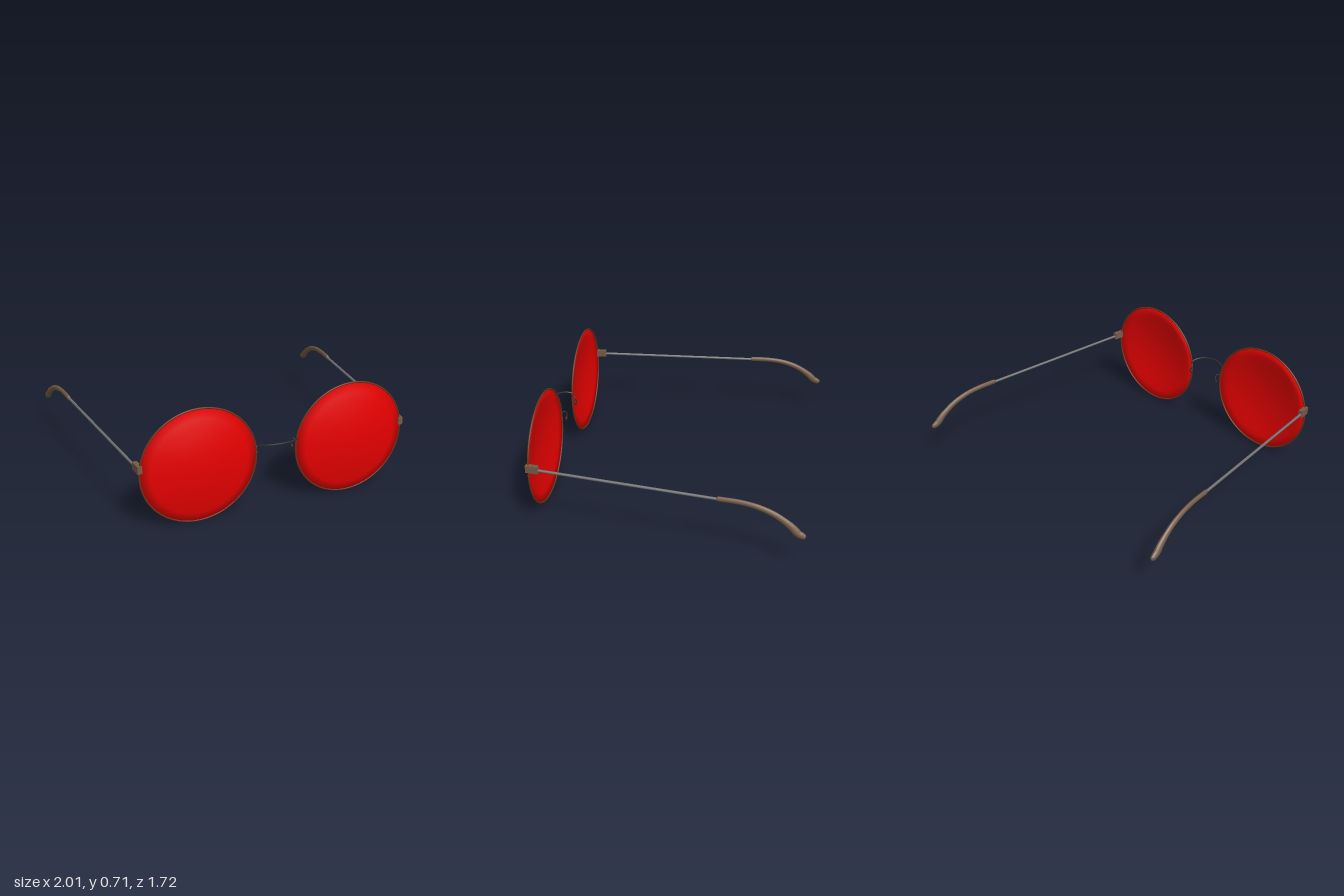
import * as THREE from 'three';

const V = (x, y, z) => new THREE.Vector3(x, y, z);

const makeMaterial = (name, color) => {
  const material = new THREE.MeshStandardMaterial({ color });
  material.name = name;
  return material;
};

export function createModel() {
  const model = new THREE.Group();
  model.name = 'roundGlasses';

  const lensRed = makeMaterial('lensRed', 0xeb0000);
  const rimBrown = makeMaterial('rimBrown', 0x6e3018);
  const brown = makeMaterial('brown', 0x745a46);
  const steel = makeMaterial('steel', 0x727272);
  const darkWire = makeMaterial('darkWire', 0x303030);

  const add = (name, geometry, material, parent = model) => {
    const mesh = new THREE.Mesh(geometry, material);
    mesh.name = name;
    parent.add(mesh);
    return mesh;
  };
  const wire = (points, radius, segments = 32) =>
    new THREE.TubeGeometry(new THREE.CatmullRomCurve3(points), segments, radius, 8);

  // Tube whose radius follows a profile of [u, radius] pairs, flattened in x
  const taperedTube = (points, profile, flatten) => {
    const curve = new THREE.CatmullRomCurve3(points);
    const geometry = new THREE.TubeGeometry(curve, 80, 1, 14);
    const pos = geometry.attributes.position;
    const uv = geometry.attributes.uv;
    const p = V(0, 0, 0);
    for (let i = 0; i < pos.count; i++) {
      const u = uv.getX(i);
      let k = 1;
      while (k < profile.length - 1 && profile[k][0] < u) k++;
      const [u0, r0] = profile[k - 1];
      const [u1, r1] = profile[k];
      const r = THREE.MathUtils.lerp(r0, r1, (u - u0) / (u1 - u0));
      const c = curve.getPointAt(u);
      p.fromBufferAttribute(pos, i).sub(c).multiplyScalar(r);
      p.x *= flatten;
      pos.setXYZ(i, c.x + p.x, c.y + p.y, c.z + p.z);
    }
    geometry.computeVertexNormals();
    return geometry;
  };

  // Thin domed lens: concave back, softly shaded edge, convex front
  const dome = (r) => 0.046 * (1 - (r / 0.354) ** 2) ** 1.2;
  const radii = [0, 0.05, 0.1, 0.15, 0.2, 0.25, 0.295];
  const lensProfile = [
    ...radii.map((r) => new THREE.Vector2(r, dome(r) - 0.006)),
    new THREE.Vector2(0.354, -0.002),
    ...radii.slice().reverse().map((r) => new THREE.Vector2(r, dome(r) + 0.002)),
  ];
  const lensGeometry = new THREE.LatheGeometry(lensProfile, 72).rotateX(Math.PI / 2);
  const rimGeometry = new THREE.TorusGeometry(0.352, 0.0055, 10, 96);

  for (const s of [1, -1]) {
    const side = new THREE.Group();
    side.name = s > 0 ? 'leftSide' : 'rightSide';
    model.add(side);

    add('lens', lensGeometry, lensRed, side).position.set(s * 0.478, 0.363, 0.774);
    add('rim', rimGeometry, rimBrown, side).position.set(s * 0.478, 0.363, 0.771);

    // Hinge block with a short lug to the rim
    const hinge = add('hinge', new THREE.BoxGeometry(0.028, 0.046, 0.076), brown, side);
    hinge.position.set(s * 0.832, 0.41, 0.746);
    hinge.rotation.y = -s * 0.103;
    add('hingeLug', new THREE.BoxGeometry(0.022, 0.04, 0.016), brown, side)
      .position.set(s * 0.825, 0.41, 0.775);

    // Straight temple wire
    add('temple', wire([V(s * 0.836, 0.407, 0.72), V(s * 0.944, 0.394, -0.38)], 0.0085, 2), steel, side);

    // Curved ear piece, swelling at its end
    add('earPiece', taperedTube(
      [
        V(s * 0.942, 0.396, -0.348), V(s * 0.953, 0.394, -0.48),
        V(s * 0.963, 0.38, -0.58), V(s * 0.973, 0.345, -0.68),
        V(s * 0.982, 0.288, -0.768), V(s * 0.987, 0.244, -0.815),
        V(s * 0.991, 0.226, -0.858),
      ],
      [[0, 0], [0.0125, 0.0155], [0.35, 0.016], [0.7, 0.019],
        [0.88, 0.024], [0.95, 0.021], [0.9875, 0.015], [1, 0]],
      0.76), brown, side);

    // Hooked nose wire with a small end bead
    add('noseWire', wire([
      V(s * 0.126, 0.405, 0.771), V(s * 0.116, 0.416, 0.756), V(s * 0.108, 0.4, 0.744),
      V(s * 0.114, 0.375, 0.741), V(s * 0.117, 0.358, 0.746), V(s * 0.107, 0.362, 0.75),
    ], 0.004), darkWire, side);
    const bead = add('noseBead', new THREE.SphereGeometry(0.009, 12, 8), darkWire, side);
    bead.position.set(s * 0.113, 0.362, 0.747);
    bead.scale.set(0.8, 1.5, 1);
  }

  // Bridge wire bowing forward and up between the lenses
  const bridgePoints = [];
  for (let i = 0; i <= 12; i++) {
    const a = Math.PI * (i / 12);
    bridgePoints.push(V(-0.126 * Math.cos(a), 0.426 + 0.026 * Math.sin(a), 0.768 + 0.09 * Math.sin(a)));
  }
  add('bridge', wire(bridgePoints, 0.005, 48), darkWire);

  return model;
}
